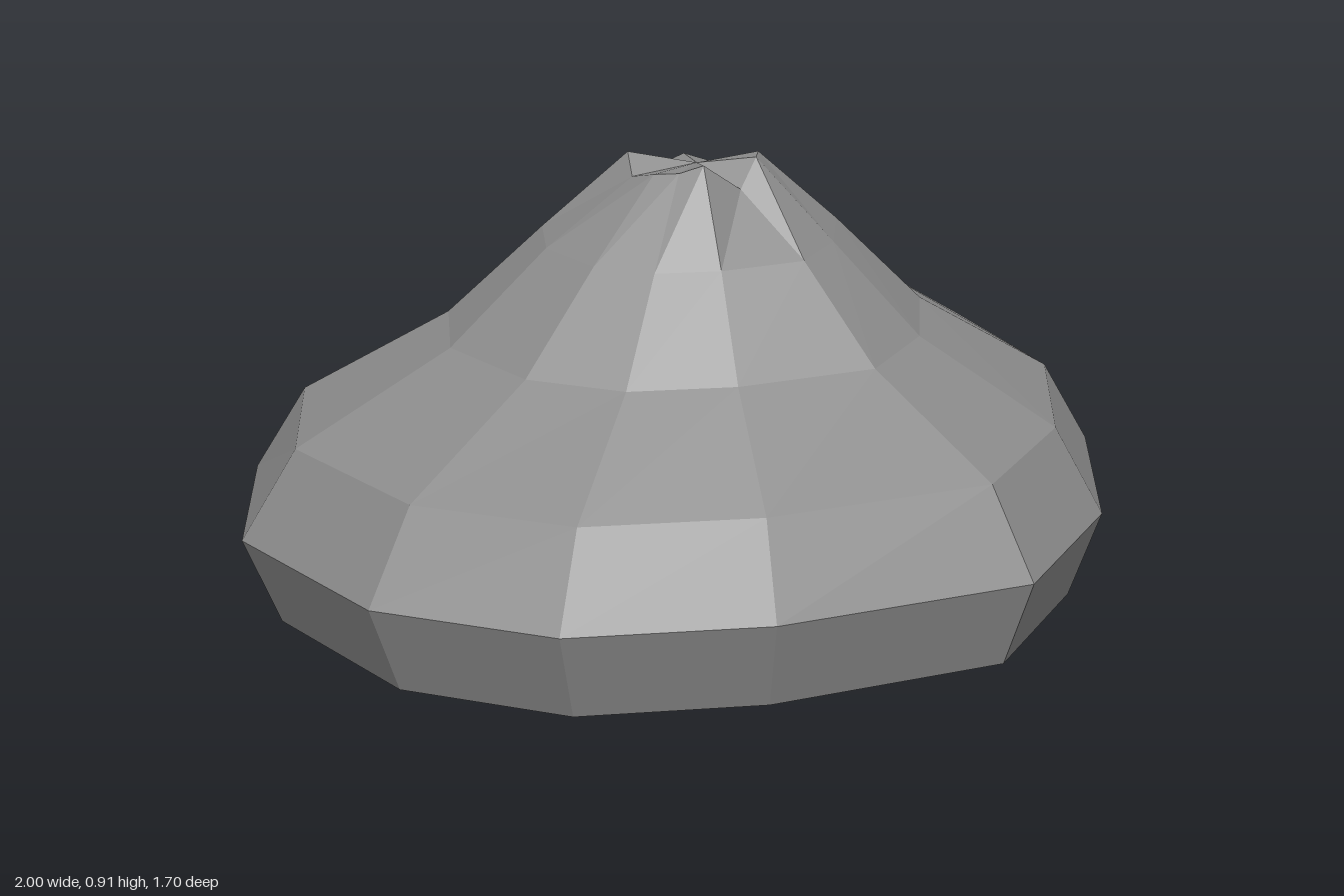
import * as THREE from 'three';

// Outline of the widest ring, as [x, z] offsets from the peak axis
const OUTLINE = [
  [1.08, 0], [0.83, 0.45], [0.42, 0.75], [0, 0.86], [-0.48, 0.62], [-0.78, 0.36],
  [-0.92, 0], [-0.85, -0.47], [-0.54, -0.82], [0, -0.84], [0.42, -0.64], [0.68, -0.39],
];
// Shell rings from the foot upwards: [scale of outline, height, tilt]
const RINGS = [
  [0.927, 0, 0], [1, 0.185, 0.004], [0.88, 0.368, 0.012], [0.547, 0.55, 0.022], [0.335, 0.742, 0.025],
];
// Ragged crown around the tip: [x, y, z] offsets, one per spoke
const CROWN = [
  [0.15, 0.86, 0], [0.12, 0.905, 0.065], [0.06, 0.907, 0.11], [0, 0.85, 0.12],
  [-0.08, 0.907, 0.09], [-0.11, 0.89, 0.05], [-0.13, 0.885, 0], [-0.12, 0.87, -0.07],
  [-0.08, 0.91, -0.12], [0, 0.86, -0.13], [0.06, 0.89, -0.09], [0.11, 0.87, -0.06],
];
const AXIS = [-0.08, -0.01];

// Open band between consecutive rings of points
function loft(rings) {
  const n = rings[0].length;
  const index = [];
  for (let r = 0; r < rings.length - 1; r++) {
    for (let i = 0; i < n; i++) {
      const j = (i + 1) % n;
      const a = r * n + i, b = r * n + j, c = a + n, d = b + n;
      index.push(a, c, b, b, c, d);
    }
  }
  const geometry = new THREE.BufferGeometry();
  geometry.setAttribute('position', new THREE.Float32BufferAttribute(rings.flat(2), 3));
  geometry.setIndex(index);
  const faceted = geometry.toNonIndexed();
  faceted.computeVertexNormals();
  return faceted;
}

export function createModel() {
  const group = new THREE.Group();
  group.name = 'limpetShell';
  const shellGrey = new THREE.MeshStandardMaterial({ color: 0x8c8c8c, flatShading: true, side: THREE.DoubleSide });
  shellGrey.name = 'shellGrey';

  const rings = RINGS.map(([s, y, tilt]) =>
    OUTLINE.map(([x, z]) => [AXIS[0] + x * s, y + tilt * (x - z) * 0.7, AXIS[1] + z * s]));
  const crown = CROWN.map(([x, y, z]) => [AXIS[0] + x, y, AXIS[1] + z]);
  const tip = CROWN.map(() => [AXIS[0], 0.89, AXIS[1]]);

  const add = (name, bands) => {
    const mesh = new THREE.Mesh(loft(bands), shellGrey);
    mesh.name = name;
    group.add(mesh);
  };
  add('skirt', rings.slice(0, 2));          // inward-sloping foot, open below
  add('slopes', [...rings.slice(1), crown]); // faceted cone
  // Tip fan: drop the collapsed half of each quad
  add('crown', [crown, tip]);
  const fan = group.children[2].geometry;
  const p = fan.attributes.position.array;
  const kept = [];
  for (let i = 0; i < p.length; i += 18) kept.push(...p.slice(i, i + 9));
  fan.setAttribute('position', new THREE.Float32BufferAttribute(kept, 3));
  fan.computeVertexNormals();
  return group;
}
